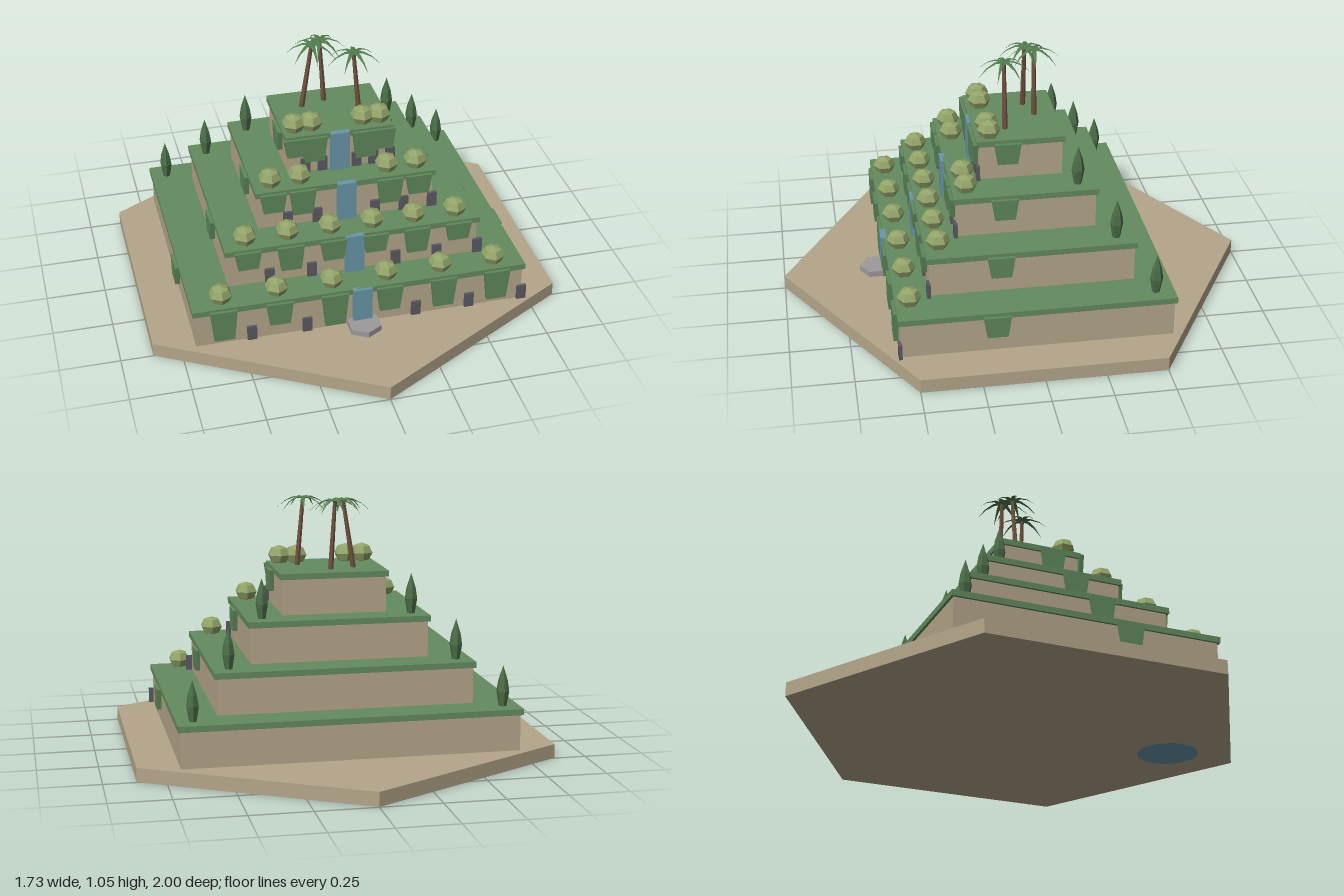
import * as THREE from 'three';

const mat = (name, color) => {
  const m = new THREE.MeshStandardMaterial({ color });
  m.name = name;
  return m;
};

export function createModel() {
  const stone = mat('sandstone', 0xb5a68a);
  const grass = mat('terrace green', 0x648b5f);
  const vineGreen = mat('vine green', 0x5f885b);
  const bushGreen = mat('bush olive', 0x94a56a);
  const cypressGreen = mat('cypress green', 0x4c6f48);
  const frondGreen = mat('frond green', 0x527c4f);
  const bark = mat('palm bark', 0x70523f);
  const waterBlue = mat('water blue', 0x6a97ab);
  const doorGrey = mat('doorway grey', 0x5a5a62);
  const poolGrey = mat('pool grey', 0x9c9a9a);

  const root = new THREE.Group();
  root.name = 'terracedGarden';

  // Faceted geometry: one normal per face
  const flat = (g) => {
    const f = g.index ? g.toNonIndexed() : g;
    f.computeVertexNormals();
    return f;
  };
  const add = (name, geo, material, x, y, z, parent = root) => {
    const m = new THREE.Mesh(geo, material);
    m.name = name;
    m.position.set(x, y, z);
    parent.add(m);
    return m;
  };
  const box = (w, h, d) => new THREE.BoxGeometry(w, h, d);

  // Vine curtain hanging from its top edge, narrower at the bottom
  const vineGeo = (length) => {
    const g = box(0.112, length, 0.02);
    g.translate(0, -length / 2, 0);
    const p = g.attributes.position;
    for (let i = 0; i < p.count; i++) if (p.getY(i) < -0.001) p.setX(i, p.getX(i) * 0.75);
    return flat(g);
  };
  const bushGeo = flat(new THREE.SphereGeometry(0.05, 6, 4).rotateY(Math.PI / 6).scale(1, 0.84, 1));
  const cypressGeo = flat(new THREE.LatheGeometry(
    [[0, 0], [0.016, 0], [0.027, 0.065], [0.02, 0.11], [0, 0.172]].map(([x, y]) => new THREE.Vector2(x, y)), 6));
  const doorGeo = box(0.04, 0.065, 0.015);

  // Hexagonal plinth
  add('plinth', flat(new THREE.CylinderGeometry(1, 1, 0.059, 6)), stone, 0, 0.0305, 0);

  // Terraces, from the lowest up: half width, half depth, bush positions, vine lengths
  const step = 0.175;
  const tiers = [
    { hw: 0.706, hd: 0.568, gap: 0.232, bushes: [-2.5, -1.5, -0.5, 0.5, 1.5, 2.5], vines: [0.138, 0.1, 0.145, 0.11, 0.13, 0.135] },
    { hw: 0.542, hd: 0.433, gap: 0.179, bushes: [-2.5, -1.5, -0.5, 0.5, 1.5, 2.5], vines: [0.08, 0.11, 0.09, 0.08, 0.11, 0.078] },
    { hw: 0.383, hd: 0.3, gap: 0.124, bushes: [-2.5, -1.5, 1.5, 2.5], vines: [0.085, 0.11, 0.11, 0.085] },
    { hw: 0.23, hd: 0.185, gap: 0.073, bushes: [-2.5, -1.5, 1.5, 2.5], vines: [0.08, 0.11, 0.12, 0.09] },
  ];
  tiers.forEach(({ hw, hd, gap, bushes, vines }, t) => {
    const tier = new THREE.Group();
    tier.name = `terrace${t + 1}`;
    tier.position.y = 0.06 + t * step;
    root.add(tier);

    add('wall', box(2 * hw - 0.02, step - 0.025, 2 * hd - 0.02), stone, 0, (step - 0.025) / 2, 0, tier);
    add('lawn', box(2 * hw, 0.025, 2 * hd), grass, 0, step - 0.0125, 0, tier);
    add('waterfall', box(0.08, step, 0.025), waterBlue, 0, step / 2, hd, tier);

    // Bushes along the front edge with vines below them
    bushes.forEach((k, i) => {
      add('bush', bushGeo, bushGreen, k * gap, step + 0.033, hd - 0.058, tier);
      add('frontVine', vineGeo(vines[i]), vineGreen, k * gap, step - 0.01, hd + 0.003, tier);
    });
    // One vine on each side
    for (const s of [-1, 1]) {
      const v = add('sideVine', vineGeo(0.09), vineGreen, s * (hw + 0.005), step - 0.014, hd * 0.3, tier);
      v.rotation.y = s * Math.PI / 2;
    }
    // Doorways, spaced between the bushes
    for (const k of [-2, -1, 1, 2, 3]) add('doorway', doorGeo, doorGrey, k * gap, 0.0325, hd - 0.006, tier);
    // Cypresses on the back corners, except on the top terrace
    if (t < 3) for (const s of [-1, 1]) add('cypress', cypressGeo, cypressGreen, s * (hw - 0.067), step - 0.003, -hd + 0.077, tier);
  });

  // Pool at the foot of the waterfall and its disc under the plinth
  add('poolBasin', flat(new THREE.CylinderGeometry(0.073, 0.073, 0.025, 6)), poolGrey, 0, 0.0725, 0.6);
  const disc = add('underPool', new THREE.CircleGeometry(0.13, 24), waterBlue, 0, 0, 0.69);
  disc.rotation.x = Math.PI / 2;

  // Palms: leaning trunk and a crown of thin drooping fronds
  const leaf = new THREE.ConeGeometry(0.013, 0.115, 4, 3);
  leaf.translate(0, 0.0575, 0).scale(1, 1, 0.35).rotateX(Math.PI / 2);
  const lp = leaf.attributes.position;
  for (let i = 0; i < lp.count; i++) {
    const r = lp.getZ(i);
    lp.setY(i, lp.getY(i) + 0.25 * r - 6 * r * r);
  }
  const frondGeo = flat(leaf);
  const up = new THREE.Vector3(0, 1, 0);
  [[-0.105, -0.06, -0.06], [0, -0.018, -0.092], [0.118, 0.092, 0.05]].forEach(([x0, x1, z], n) => {
    const palm = new THREE.Group();
    palm.name = `palm${n + 1}`;
    root.add(palm);
    const a = new THREE.Vector3(x0, 0.755, z), b = new THREE.Vector3(x1, 1.045, z);
    const dir = b.clone().sub(a);
    const trunk = add('trunk', flat(new THREE.CylinderGeometry(0.008, 0.012, dir.length(), 6)), bark,
      (x0 + x1) / 2, 0.9, z, palm);
    trunk.quaternion.setFromUnitVectors(up, dir.normalize());
    for (let i = 0; i < 7; i++) {
      const f = add('frond', frondGeo, frondGreen, x1, 1.05, z, palm);
      f.rotation.y = (i / 7) * Math.PI * 2 + n * 0.6;
    }
  });

  return root;
}
